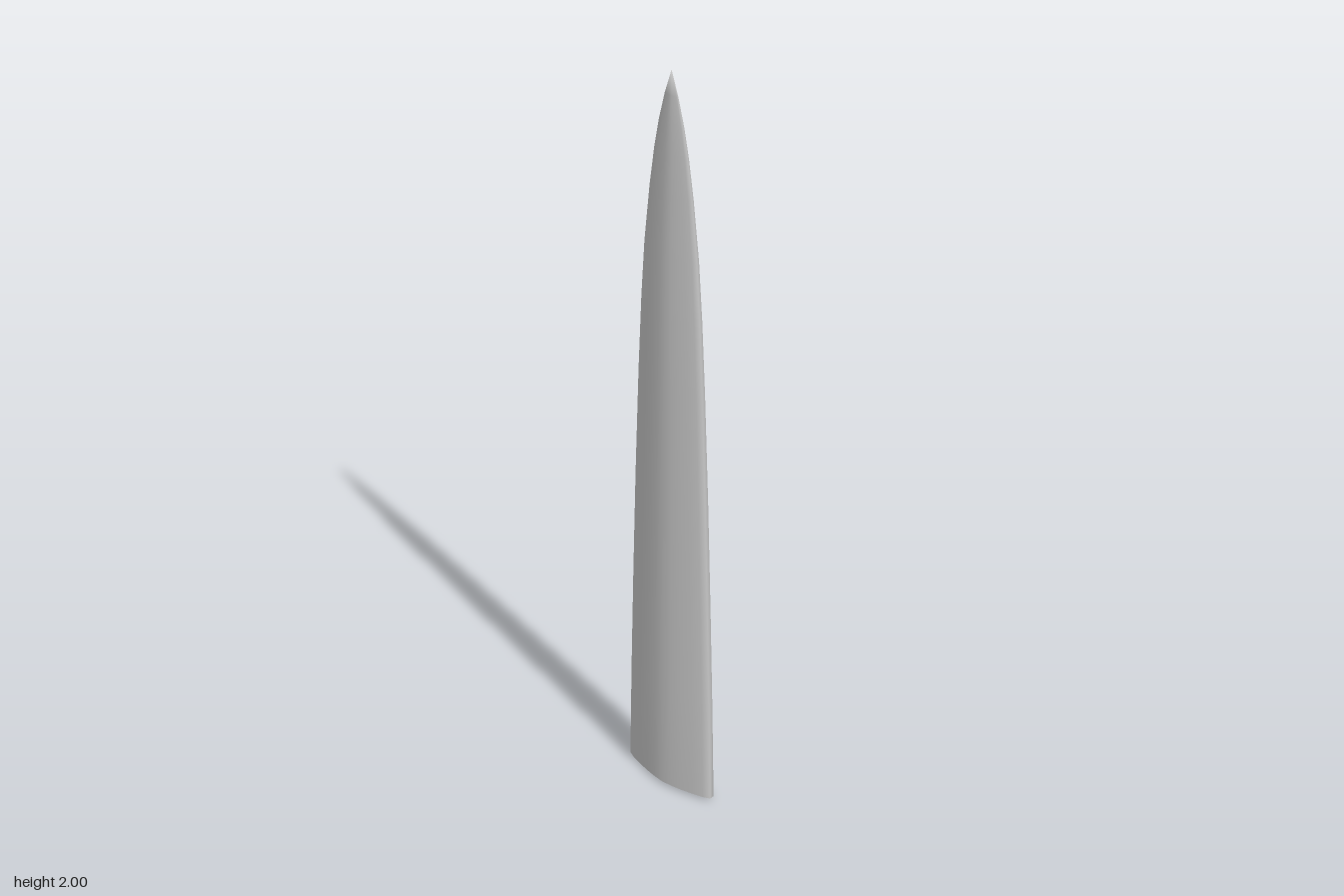
import * as THREE from 'three';
import { mergeVertices } from 'three/addons/utils/BufferGeometryUtils.js';

// Blade stations from base to tip: height, half thickness (x), half width (z)
const stations = [
  [0, 0, 0], [0, 0.027, 0.115], [0.008, 0.0375, 0.137], [0.3, 0.035, 0.13],
  [0.6, 0.0335, 0.121], [0.9, 0.031, 0.111], [1.2, 0.028, 0.099], [1.4, 0.025, 0.089],
  [1.55, 0.021, 0.079], [1.7, 0.016, 0.063], [1.8, 0.012, 0.049], [1.87, 0.009, 0.036],
  [1.94, 0.005, 0.019], [2, 0, 0],
];

// One quarter of the diamond-lens section, from the ridge to the cutting edge
const quarter = [[1, 0], [0.93, 0.2], [0.8, 0.42], [0.6, 0.65], [0.4, 0.85], [0.17, 0.985]];

function lensSection() {
  const half = [...quarter, ...quarter.slice().reverse().map(([x, z]) => [-x, z])];
  const other = half.slice(1, -1).reverse().map(([x, z]) => [x, -z]);
  return [...half, ...other];
}

export function createModel() {
  const group = new THREE.Group();
  group.name = 'bladeModel';

  const section = lensSection();
  const n = section.length;
  const positions = [];
  const index = [];
  for (const [y, thick, wide] of stations) {
    for (const [x, z] of section) positions.push(x * thick, y, z * wide);
  }
  // Skin neighbouring sections, leaving out collapsed faces at both poles
  const last = stations.length - 2;
  for (let i = 0; i <= last; i++) {
    for (let j = 0; j < n; j++) {
      const a = i * n + j;
      const b = i * n + ((j + 1) % n);
      if (i > 0) index.push(a, a + n, b);
      if (i < last) index.push(b, a + n, b + n);
    }
  }
  let geometry = new THREE.BufferGeometry();
  geometry.setAttribute('position', new THREE.Float32BufferAttribute(positions, 3));
  geometry.setIndex(index);
  geometry = mergeVertices(geometry, 1e-5);
  geometry.computeVertexNormals();

  const blade = new THREE.Mesh(geometry, new THREE.MeshStandardMaterial({ color: 0xcccccc }));
  blade.name = 'blade';
  group.add(blade);
  return group;
}
